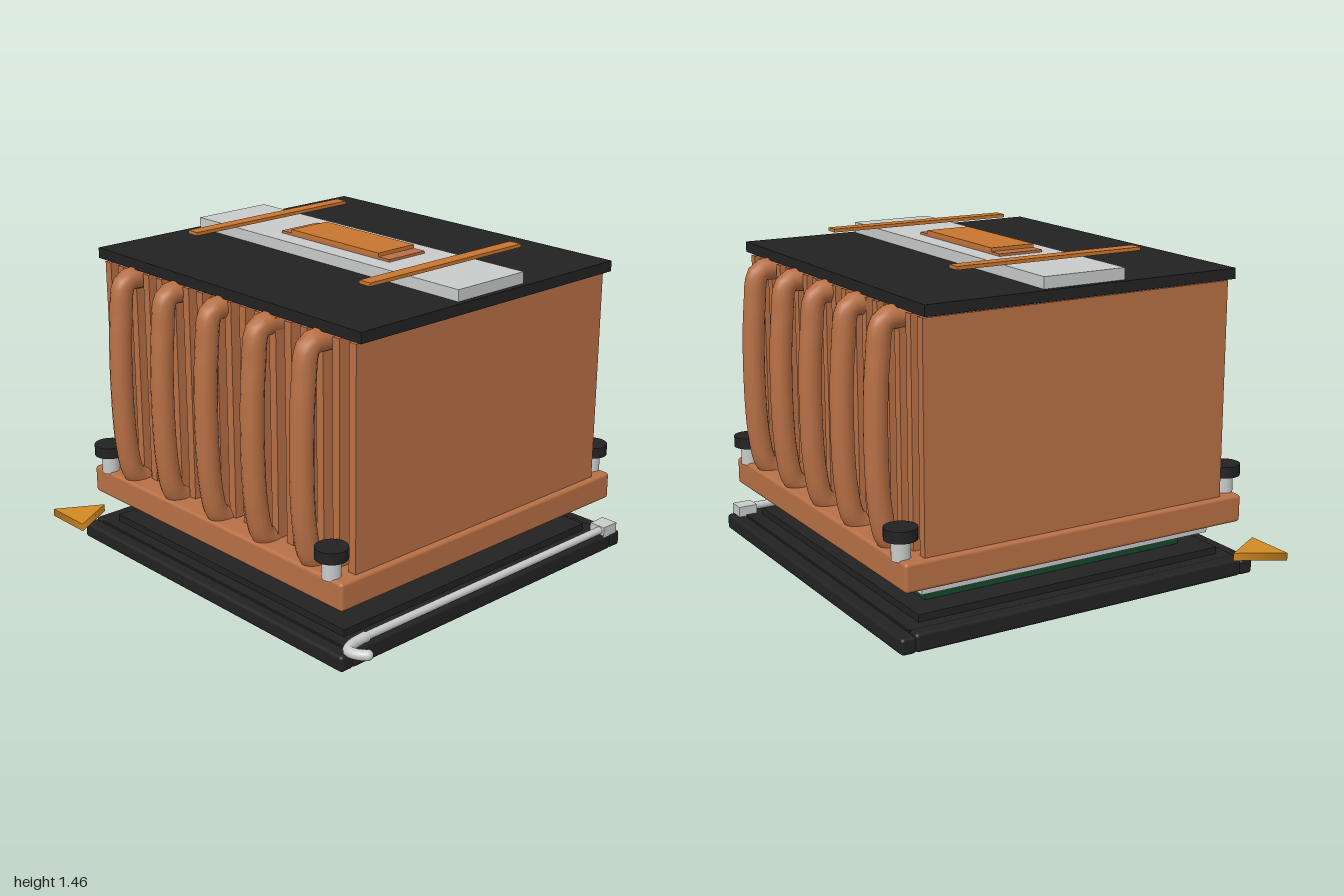
import * as THREE from 'three';
import { RoundedBoxGeometry } from 'three/addons/geometries/RoundedBoxGeometry.js';

const mat = (name, color) => Object.assign(new THREE.MeshStandardMaterial({ color }), { name });

export function createModel() {
  const copper = mat('copper', 0xb87045);
  const orange = mat('orange', 0xc8762e);
  const gold = mat('gold', 0xd08a22);
  const black = mat('black', 0x222222);
  const silver = mat('silver', 0xc8cbca);
  const green = mat('green', 0x14472c);

  const root = new THREE.Group();
  root.name = 'processorCooler';
  const CX = 0.0175, CZ = -0.043; // shared centre of the stack

  const add = (name, geometry, material, x = 0, y = 0, z = 0) => {
    const m = new THREE.Mesh(geometry, material);
    m.name = name;
    m.position.set(x, y, z);
    root.add(m);
    return m;
  };
  // box given by its limits, with an optional rounded edge
  const box = (name, material, x0, x1, y0, y1, z0, z1, r = 0) => {
    const s = [x1 - x0, y1 - y0, z1 - z0];
    const g = r ? new RoundedBoxGeometry(...s, 2, r) : new THREE.BoxGeometry(...s);
    return add(name, g, material, (x0 + x1) / 2, (y0 + y1) / 2, (z0 + z1) / 2);
  };
  const prism = (name, material, r, y0, y1, x, z, sides = 24) =>
    add(name, new THREE.CylinderGeometry(r, r, y1 - y0, sides), material, x, (y0 + y1) / 2, z);
  const tube = (name, material, points, r, segments) => {
    const curve = new THREE.CatmullRomCurve3(points.map(p => new THREE.Vector3(...p)));
    return add(name, new THREE.TubeGeometry(curve, segments, r, 14), material);
  };

  // Socket: floor, four rails and inner step
  box('socketFloor', black, -0.81, 0.845, 0.004, 0.078, -0.86, 0.775);
  box('frontRail', black, -0.865, 0.9, 0, 0.072, 0.77, 0.838, 0.015);
  box('backRail', black, -0.865, 0.9, 0, 0.072, -0.925, -0.855, 0.015);
  box('rightRail', black, -0.865, -0.8, 0, 0.08, -0.86, 0.775, 0.015);
  box('leftRail', black, 0.835, 0.9, 0, 0.08, -0.86, 0.775, 0.015);
  box('socketStep', black, -0.755, 0.79, 0.075, 0.11, -0.79, 0.72);

  // Locking lever with its hinge block
  box('leverHinge', silver, 0.82, 0.9, 0.07, 0.12, -0.895, -0.805);
  tube('leverRod', silver, [[0.872, 0.098, -0.85], [0.872, 0.098, 0.74]], 0.018, 4);
  tube('leverHandle', silver,
    [[0.872, 0.098, 0.68], [0.88, 0.096, 0.76], [0.905, 0.094, 0.805], [0.95, 0.094, 0.8], [0.985, 0.095, 0.775]],
    0.023, 20);
  for (const [x, z] of [[0.985, 0.775], [0.872, 0.68]])
    add('leverEnd', new THREE.SphereGeometry(0.023, 14, 10), silver, x, 0.096, z);

  // Corner marker on the board
  prism('cornerMarker', gold, 0.137, 0.085, 0.12, -0.88, 0.852, 3).rotation.y = Math.PI;

  // Processor board, small chips, marker and heat spreader
  box('processorBoard', green, -0.63, 0.66, 0.108, 0.147, -0.69, 0.6);
  for (const t of [-0.46, -0.3, -0.05, 0.25, 0.44])
    for (const s of [-1, 1]) {
      box('chip', black, CX + t - 0.027, CX + t + 0.027, 0.145, 0.157, CZ + s * 0.6 - 0.015, CZ + s * 0.6 + 0.015);
      box('chip', black, CX + s * 0.6 - 0.015, CX + s * 0.6 + 0.015, 0.145, 0.157, CZ + t - 0.027, CZ + t + 0.027);
    }
  prism('boardMarker', gold, 0.087, 0.145, 0.165, -0.555, 0.535, 3).rotation.y = Math.PI;
  box('spreaderFoot', silver, -0.54, 0.58, 0.145, 0.182, -0.6, 0.52);
  box('spreaderPlate', silver, -0.73, 0.765, 0.18, 0.205, -0.76, 0.68);
  box('spreaderTop', silver, -0.48, 0.51, 0.203, 0.237, -0.53, 0.45);

  // Heat sink base and fins
  box('heatSinkBase', copper, -0.82, 0.855, 0.235, 0.36, -0.88, 0.795, 0.015);
  for (let i = 0; i < 18; i++) {
    const x = -0.775 + i * 0.0932;
    box('fin', copper, x - 0.02, x + 0.02, 0.35, 1.322, -0.78, 0.695);
  }

  // Heat pipes, front and back
  for (let i = 0; i < 5; i++)
    for (const s of [1, -1]) {
      const x = -0.58 + i * 0.3;
      const path = [[0.6, 1.28], [0.7, 1.29], [0.79, 1.28], [0.82, 1.12], [0.833, 0.8], [0.82, 0.52], [0.79, 0.39], [0.74, 0.345]];
      tube('heatPipe', copper, path.map(([z, y]) => [x, y, CZ + s * z]), 0.05, 40);
    }

  // Mounting screws at the corners
  for (const x of [-0.733, 0.765])
    for (const z of [-0.853, 0.765]) {
      prism('screwPost', silver, 0.04, 0.35, 0.44, x, z);
      prism('screwHead', black, 0.07, 0.437, 0.487, x, z);
    }

  // Top cover with badge strip and trim
  box('topCover', black, -0.83, 0.865, 1.333, 1.38, -0.79, 0.705);
  box('topStrip', silver, -0.805, 0.84, 1.38, 1.43, -0.24, 0.15);
  box('badgeBase', copper, -0.325, 0.36, 1.43, 1.441, -0.15, 0.062);
  box('badgePlate', orange, -0.26, 0.295, 1.441, 1.457, -0.15, 0.062);
  for (const x of [-0.533, 0.57])
    box('trimBar', orange, x - 0.031, x + 0.031, 1.442, 1.457, -0.495, 0.405);

  return root;
}
